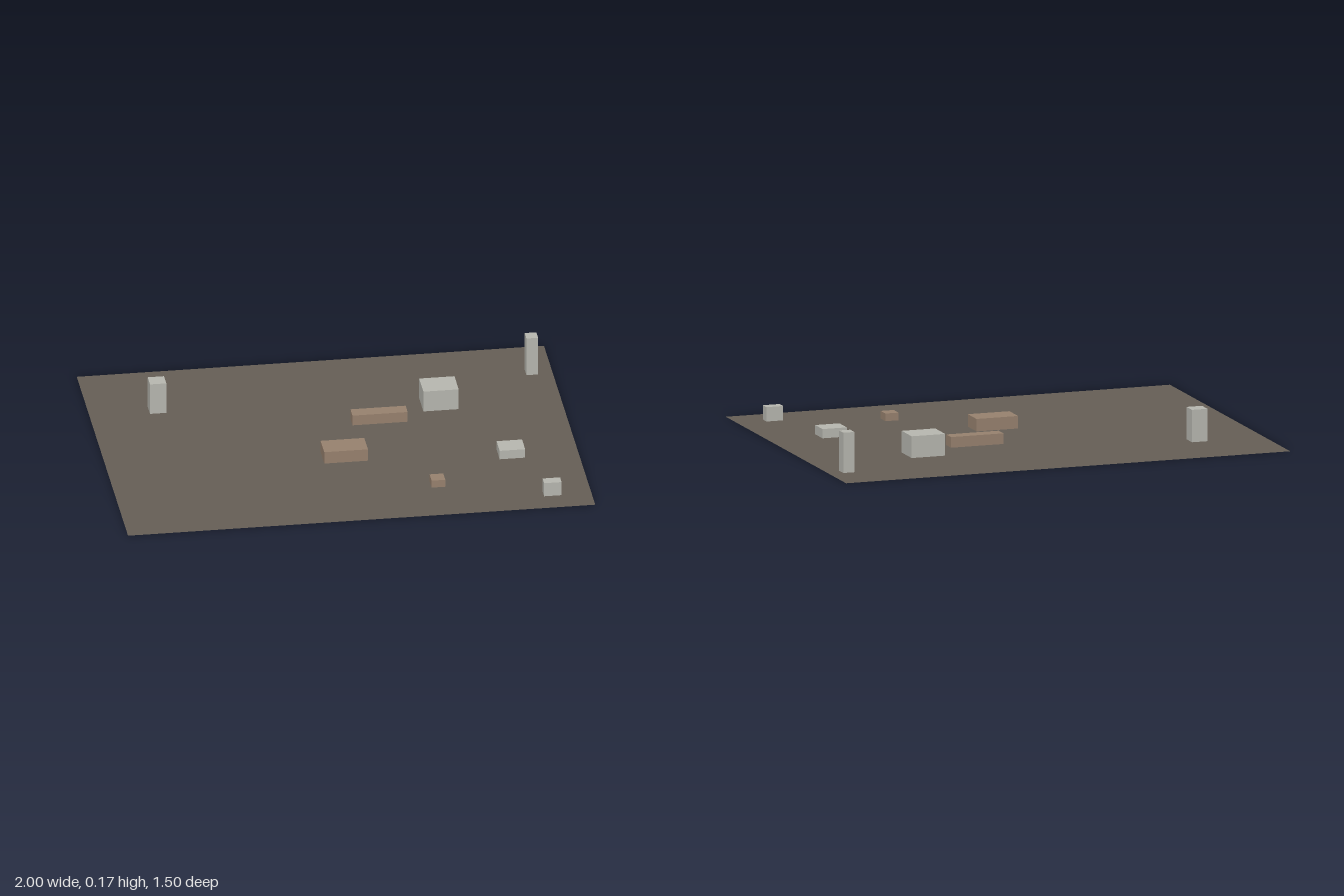
import * as THREE from 'three';

export function createModel() {
  const group = new THREE.Group();
  group.name = 'ruinsSite';

  const earth = new THREE.MeshStandardMaterial({ name: 'earth', color: 0x665f56, side: THREE.DoubleSide });
  const stone = new THREE.MeshStandardMaterial({ name: 'paleStone', color: 0xb8b8b0 });
  const clay = new THREE.MeshStandardMaterial({ name: 'brownClay', color: 0x98826f });

  // Flat ground sheet
  const ground = new THREE.Mesh(new THREE.PlaneGeometry(2, 1.5).rotateX(-Math.PI / 2), earth);
  ground.name = 'ground';
  group.add(ground);

  // A block standing on the ground, given by its extents in x and z and its height
  function block(name, material, x0, x1, z0, z1, height) {
    const mesh = new THREE.Mesh(new THREE.BoxGeometry(x1 - x0, height, z1 - z0), material);
    mesh.position.set((x0 + x1) / 2, height / 2, (z0 + z1) / 2);
    mesh.name = name;
    group.add(mesh);
  }

  // Pale stone blocks and pillars
  block('backRightPillar', stone, -0.743, -0.673, -0.43, -0.362, 0.14);
  block('backLeftPillar', stone, 0.887, 0.937, -0.541, -0.489, 0.174);
  block('largeBlock', stone, 0.406, 0.557, -0.341, -0.217, 0.094);
  block('lowBlock', stone, 0.661, 0.77, 0.18, 0.272, 0.04);
  block('frontBlock', stone, 0.797, 0.872, 0.596, 0.641, 0.062);

  // Brown clay blocks
  block('longBeam', clay, 0.09, 0.326, -0.192, -0.132, 0.046);
  block('wideSlab', clay, -0.08, 0.107, 0.096, 0.204, 0.054);
  block('smallBrick', clay, 0.337, 0.396, 0.432, 0.492, 0.033);

  return group;
}
